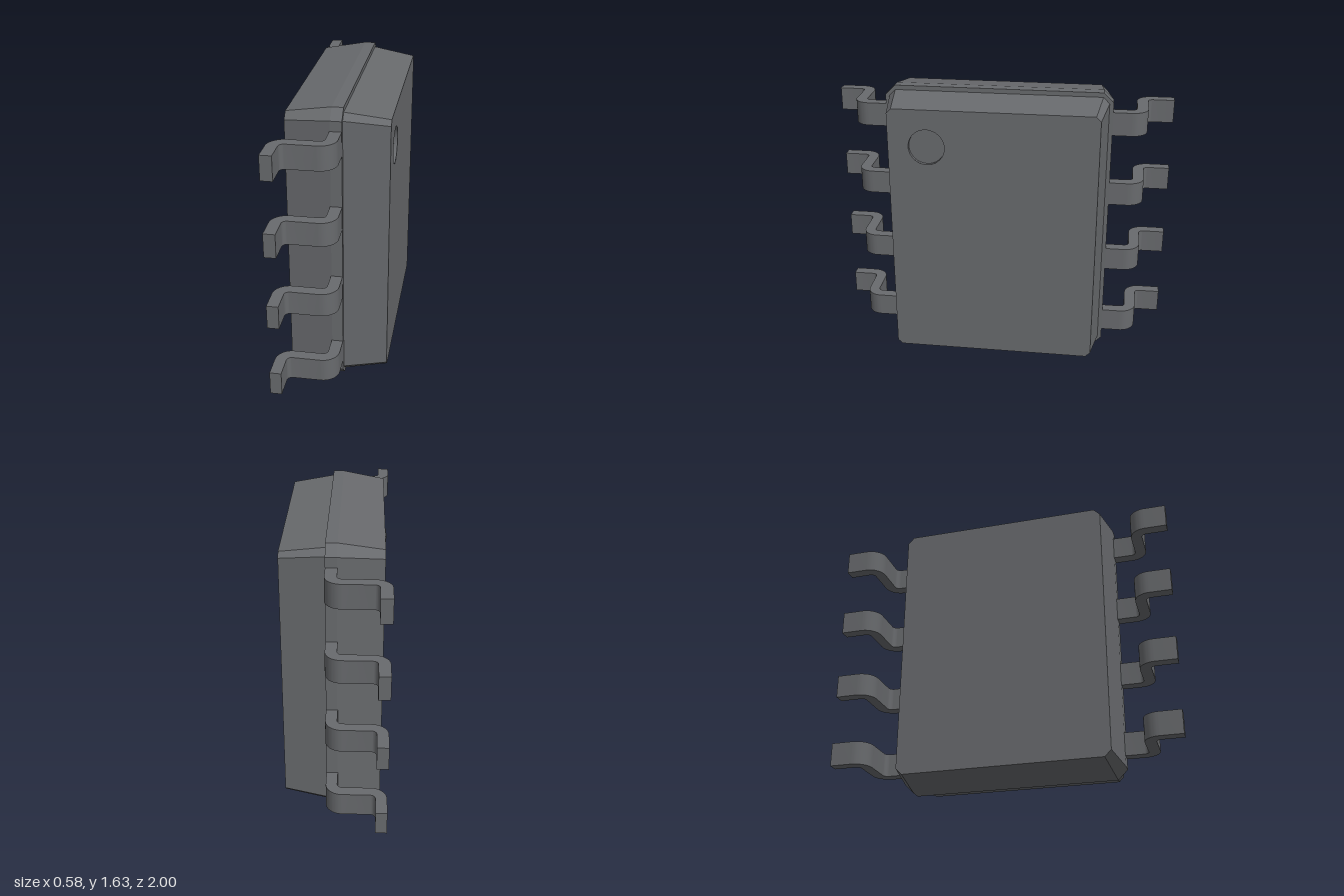
import * as THREE from 'three';
import { toCreasedNormals } from 'three/addons/utils/BufferGeometryUtils.js';

const MID_Y = 0.817;

// Rectangle outline with chamfered corners, counter-clockwise
function outline({ hz, hy, c }) {
  return [
    [hz, -hy + c], [hz, hy - c], [hz - c, hy], [-hz + c, hy],
    [-hz, hy - c], [-hz, -hy + c], [-hz + c, -hy], [hz - c, -hy],
  ].map(([u, v]) => new THREE.Vector2(u, v));
}

// Flat-sided skin through outlines stacked along x
function loft(sections) {
  const pos = [];
  for (let s = 0; s < sections.length - 1; s++) {
    const lo = outline(sections[s]), hi = outline(sections[s + 1]);
    const x0 = sections[s].x, x1 = sections[s + 1].x;
    for (let i = 0; i < 8; i++) {
      const j = (i + 1) % 8;
      const a = [lo[i].x, lo[i].y, x0], b = [lo[j].x, lo[j].y, x0];
      const c = [hi[j].x, hi[j].y, x1], d = [hi[i].x, hi[i].y, x1];
      pos.push(...a, ...b, ...c, ...a, ...c, ...d);
    }
  }
  const g = new THREE.BufferGeometry();
  g.setAttribute('position', new THREE.Float32BufferAttribute(pos, 3));
  g.computeVertexNormals();
  return g.rotateY(Math.PI / 2);
}

// Flat end face at a section, facing +x or -x, with an optional round hole
function cap(section, dir, hole) {
  const shape = new THREE.Shape(outline(section));
  if (hole) shape.holes.push(new THREE.Path().absarc(hole.u, hole.v, hole.r, 0, Math.PI * 2, true));
  const g = new THREE.ShapeGeometry(shape, 32);
  if (dir < 0) g.rotateY(Math.PI); // outline is symmetric
  return g.rotateY(Math.PI / 2).translate(section.x, 0, 0);
}

// Gull-wing lead: bent strip profile in x and z, extruded along y
function leadGeometry() {
  const h = 0.032, r = 0.06, footX = -0.263, neckX = 0.014, barZ = 0.815;
  const width = 0.135, P = Math.PI;
  const ax = footX + r, az = barZ + r; // centre of the foot bend
  const bx = neckX - r, bz = barZ - r; // centre of the neck bend
  const s = new THREE.Shape();
  s.moveTo(footX - h, 1);
  s.lineTo(footX - h, az);
  s.absarc(ax, az, r + h, P, 1.5 * P, false);
  s.absarc(bx, bz, r - h, P / 2, 0, true);
  s.lineTo(neckX - h, 0.6);
  s.lineTo(neckX + h, 0.6);
  s.lineTo(neckX + h, bz);
  s.absarc(bx, bz, r + h, 0, P / 2, false);
  s.absarc(ax, az, r - h, 1.5 * P, P, true);
  s.lineTo(footX + h, 1);
  const g = new THREE.ExtrudeGeometry(s, { depth: width, bevelEnabled: false, curveSegments: 10 });
  g.translate(0, 0, -width / 2).rotateX(P / 2);
  return toCreasedNormals(g, 0.6);
}

export function createModel() {
  const model = new THREE.Group();
  model.name = 'chipPackage';
  const grey = new THREE.MeshStandardMaterial({ color: 0x686a6d });
  grey.name = 'darkGrey';

  const add = (name, geometry, parent) => {
    const mesh = new THREE.Mesh(geometry, grey);
    mesh.name = name;
    parent.add(mesh);
    return mesh;
  };

  const body = new THREE.Group();
  body.name = 'body';
  body.position.y = MID_Y;
  model.add(body);

  // Lower half of the casing, with the wide rim
  const base = [
    { x: -0.26, hz: 0.612, hy: 0.776, c: 0.037 },
    { x: -0.015, hz: 0.65, hy: 0.817, c: 0.056 },
    { x: 0.047, hz: 0.65, hy: 0.817, c: 0.056 },
  ];
  add('baseSides', loft(base), body);
  add('baseBottom', cap(base[0], -1), body);
  add('baseLedge', cap(base[2], 1), body);

  // Upper half of the casing, set in from the rim
  const cover = [
    { x: 0.047, hz: 0.627, hy: 0.791, c: 0.036 },
    { x: 0.29, hz: 0.589, hy: 0.754, c: 0.027 },
  ];
  const dot = { u: -0.37, v: 0.538, r: 0.102 };
  add('coverSides', loft(cover), body);
  add('coverTop', cap(cover[1], 1, dot), body);

  // Shallow round recess marking the first lead
  const depth = 0.02;
  const dish = new THREE.LatheGeometry([
    new THREE.Vector2(dot.r, 0),
    new THREE.Vector2(dot.r, -depth),
    new THREE.Vector2(0, -depth),
  ], 32).rotateZ(-Math.PI / 2);
  add('markerRecess', toCreasedNormals(dish, 0.6), body).position.set(cover[1].x, dot.v, -dot.u);

  // Four leads along each side
  const lead = leadGeometry();
  for (let i = 0; i < 4; i++) {
    const y = 0.184 + i * 0.4235;
    add('frontLead', lead, model).position.y = y;
    const back = add('backLead', lead, model);
    back.position.y = y;
    back.rotation.x = Math.PI;
  }
  return model;
}
